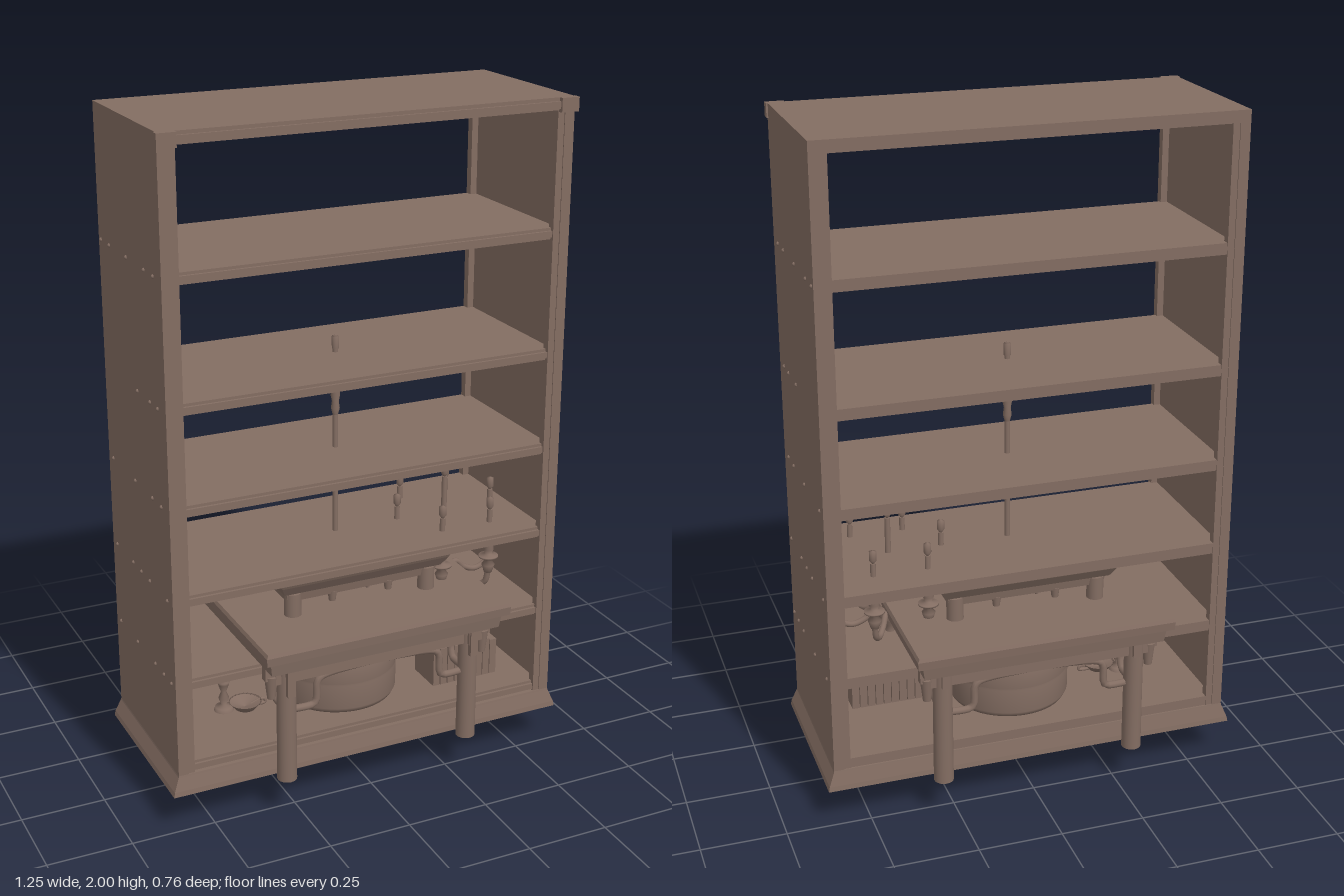
import * as THREE from 'three';

const wood = new THREE.MeshStandardMaterial({ color: 0x836d62, side: THREE.DoubleSide });
wood.name = 'brown wood';

function add(parent, name, geometry, x = 0, y = 0, z = 0) {
  const mesh = new THREE.Mesh(geometry, wood);
  mesh.name = name;
  mesh.position.set(x, y, z);
  parent.add(mesh);
  return mesh;
}

function group(parent, name, x = 0, y = 0, z = 0) {
  const g = new THREE.Group();
  g.name = name;
  g.position.set(x, y, z);
  parent.add(g);
  return g;
}

// Box given by its lower and upper limits
function box(parent, name, x0, x1, y0, y1, z0, z1) {
  return add(parent, name, new THREE.BoxGeometry(x1 - x0, y1 - y0, z1 - z0),
    (x0 + x1) / 2, (y0 + y1) / 2, (z0 + z1) / 2);
}

// Upright round bar from y0 to y1
function post(parent, name, r0, r1, x, y0, y1, z) {
  return add(parent, name, new THREE.CylinderGeometry(r1, r0, y1 - y0, 20), x, (y0 + y1) / 2, z);
}

function lathe(parent, name, profile, x = 0, y = 0, z = 0, sides = 24) {
  const points = profile.map(([r, h]) => new THREE.Vector2(r, h));
  return add(parent, name, new THREE.LatheGeometry(points, sides), x, y, z);
}

function tube(parent, name, points, r, smooth = true) {
  const pts = points.map((p) => new THREE.Vector3(...p));
  let curve;
  if (smooth) curve = new THREE.CatmullRomCurve3(pts, false, 'centripetal');
  else {
    curve = new THREE.CurvePath();
    for (let i = 1; i < pts.length; i++) curve.add(new THREE.LineCurve3(pts[i - 1], pts[i]));
  }
  return add(parent, name, new THREE.TubeGeometry(curve, 48, r, 10), 0, 0, 0);
}

// Stack of rectangles [halfX, halfZ, y] joined into a moulded slab
function moulded(parent, name, rings, capped = true) {
  const corners = [[1, 1], [1, -1], [-1, -1], [-1, 1]];
  const at = (r, i) => [corners[i % 4][0] * r[0], r[2], corners[i % 4][1] * r[1]];
  const pos = [];
  const quad = (a, b, c, d) => pos.push(...a, ...b, ...c, ...a, ...c, ...d);
  for (let k = 1; k < rings.length; k++) {
    const lo = rings[k - 1], hi = rings[k];
    for (let i = 0; i < 4; i++) quad(at(lo, i), at(lo, i + 1), at(hi, i + 1), at(hi, i));
  }
  if (capped) {
    const lo = rings[0], hi = rings[rings.length - 1];
    quad(at(hi, 0), at(hi, 1), at(hi, 2), at(hi, 3));
    quad(at(lo, 3), at(lo, 2), at(lo, 1), at(lo, 0));
  }
  const g = new THREE.BufferGeometry();
  g.setAttribute('position', new THREE.Float32BufferAttribute(pos, 3));
  g.computeVertexNormals();
  return add(parent, name, g);
}

function buildBookcase(root) {
  const g = group(root, 'bookcase');
  moulded(g, 'plinth', [[0.625, 0.262, 0.12], [0.622, 0.26, 0.135], [0.606, 0.251, 0.175], [0.605, 0.25, 0.18]]);
  box(g, 'topBoard', -0.605, 0.605, 1.965, 2, -0.25, 0.25);
  box(g, 'topFrontLip', -0.56, 0.56, 1.97, 1.99, 0.25, 0.258);
  for (const s of [-1, 1]) {
    const [a, b] = s < 0 ? [-0.605, -0.575] : [0.575, 0.605];
    box(g, 'sidePanel', a, b, 0.18, 1.965, -0.25, 0.25);
    for (const z of [-0.235, 0.235])
      box(g, 'stile', s * 0.5675 - 0.0125, s * 0.5675 + 0.0125, 0.18, 1.965, z - 0.012, z + 0.012);
    box(g, 'cornerBlock', s * 0.583 - 0.027, s * 0.583 + 0.027, 1.96, 2, 0.24, 0.264);
    // Screw heads at each shelf
    const rows = { 1.62: [0.19, 0.12, -0.02, -0.16, -0.23], 1.26: [0.19, 0.13, 0.03],
      0.98: [0.19, 0.12, -0.02, -0.21], 0.71: [0.21, 0.07, 0, -0.07, -0.21], 0.46: [0.22, 0.16, 0.09, -0.06, -0.21] };
    for (const y in rows) for (const z of rows[y])
      add(g, 'screwHead', new THREE.SphereGeometry(0.006, 8, 6), s * 0.605, Number(y), z);
  }
  for (const top of [0.21, 0.47, 0.725, 0.99, 1.28, 1.635]) {
    box(g, 'shelf', -0.575, 0.575, top - 0.033, top, -0.245, 0.235);
    box(g, 'shelfNosing', -0.555, 0.555, top - 0.026, top - 0.008, 0.235, 0.243);
  }
}

function buildTable(root) {
  const g = group(root, 'table');
  moulded(g, 'tableTop', [[0.36, 0.355, 0.49], [0.365, 0.36, 0.525], [0.383, 0.378, 0.535],
    [0.385, 0.38, 0.56], [0.38, 0.376, 0.57]]);
  for (const sz of [-1, 1]) {
    box(g, 'frontApron', -0.33, 0.33, 0.435, 0.49, sz * 0.3 - 0.012, sz * 0.3 + 0.012);
    // Humped rail that dips to meet the legs
    tube(g, 'humpedRail', [[-0.29, 0.34, sz * 0.295], [-0.21, 0.34, sz * 0.295], [-0.2, 0.35, sz * 0.295],
      [-0.195, 0.41, sz * 0.295], [-0.18, 0.425, sz * 0.295], [0.18, 0.425, sz * 0.295], [0.195, 0.41, sz * 0.295],
      [0.2, 0.35, sz * 0.295], [0.21, 0.34, sz * 0.295], [0.29, 0.34, sz * 0.295]], 0.011);
    for (const sx of [-1, 1]) {
      post(g, 'tableLeg', 0.029, 0.028, sx * 0.292, 0.12, 0.49, sz * 0.295);
      box(g, 'sideBracket', sx * 0.34 - 0.02, sx * 0.34 + 0.02, 0.45, 0.49, sz * 0.295 - 0.012, sz * 0.295 + 0.012);
      post(g, 'bracketDrop', 0.012, 0.02, sx * 0.338, 0.39, 0.46, sz * 0.295);
      box(g, 'endBracket', sx * 0.292 - 0.012, sx * 0.292 + 0.012, 0.4, 0.49, sz * 0.32, sz * 0.32 + 0.016);
    }
  }
  for (const sx of [-1, 1]) {
    box(g, 'sideApron', sx * 0.29 - 0.012, sx * 0.29 + 0.012, 0.435, 0.49, -0.33, 0.33);
    tube(g, 'sideRail', [[sx * 0.29, 0.34, -0.29], [sx * 0.29, 0.34, -0.21], [sx * 0.29, 0.36, -0.2],
      [sx * 0.29, 0.425, -0.18], [sx * 0.29, 0.425, 0.18], [sx * 0.29, 0.36, 0.2], [sx * 0.29, 0.34, 0.21],
      [sx * 0.29, 0.34, 0.29]], 0.011);
  }
}

function buildSmallTable(root) {
  const g = group(root, 'smallTable');
  moulded(g, 'trayTop', [[0.235, 0.18, 0.615], [0.24, 0.185, 0.64], [0.25, 0.195, 0.645], [0.265, 0.215, 0.675], [0.275, 0.225, 0.695]]);
  for (const sx of [-1, 1]) for (const sz of [-1, 1]) {
    post(g, 'smallLeg', 0.025, 0.025, sx * 0.215, 0.57, 0.64, sz * 0.17);
    post(g, 'smallFoot', 0.01, 0.014, sx * 0.09, 0.59, 0.62, sz * 0.17);
    tube(g, 'curvedBrace', [[sx * 0.015, 0.615, sz * 0.1], [sx * 0.045, 0.605, sz * 0.1], [sx * 0.06, 0.572, sz * 0.1]], 0.007);
  }
}

function buildDrum(root) {
  lathe(root, 'drum', [[0, 0.21], [0.175, 0.21], [0.183, 0.225], [0.184, 0.3], [0.178, 0.303], [0.184, 0.306],
    [0.182, 0.36], [0.172, 0.385], [0.178, 0.395], [0.178, 0.405], [0, 0.408]], 0, 0, 0, 48);
}

// Candle in a turned cup, with its flat drip dish at y = 0
function candle(parent, x, y, z, height) {
  const g = group(parent, 'candleHolder', x, y, z);
  lathe(g, 'candleCup', [[0, -0.05], [0.012, -0.045], [0.02, -0.02], [0.01, -0.005], [0.03, 0.005], [0.03, 0.01],
    [0.01, 0.015], [0.016, 0.03], [0.012, 0.055], [0.016, 0.06], [0, 0.06]]);
  post(g, 'candle', 0.009, 0.008, 0, 0.05, height - 0.04, 0);
  lathe(g, 'flame', [[0.004, height - 0.04], [0.011, height - 0.03], [0.011, height - 0.004], [0, height]], 0, 0, 0, 10);
}

function buildCandelabra(root) {
  const g = group(root, 'candelabra', 0.365, 0, 0);
  lathe(g, 'stem', [[0, 0.3], [0.01, 0.31], [0.014, 0.34], [0.033, 0.42], [0.03, 0.44], [0.014, 0.46], [0.014, 0.49],
    [0.03, 0.51], [0.03, 0.53], [0.012, 0.56], [0.01, 0.6], [0, 0.6]]);
  candle(g, 0, 0.65, 0, 0.225);
  for (let i = 0; i < 6; i++) {
    const arm = group(g, 'arm');
    arm.rotation.y = i * Math.PI / 3;
    tube(arm, 'curvedArm', [[0.015, 0.53, 0], [0.045, 0.545, 0], [0.075, 0.52, 0], [0.115, 0.508, 0],
      [0.15, 0.525, 0], [0.16, 0.56, 0]], 0.009);
    candle(arm, 0.16, 0.605, 0, 0.2);
  }
}

function buildShelfItems(root) {
  const books = group(root, 'books');
  for (let i = 0; i < 9; i++) {
    const x = 0.265 + i * 0.0245;
    box(books, 'book', x, x + 0.022, 0.21, 0.325 + 0.006 * (i % 2), 0.02, 0.14);
  }
  // Candlestick with a shallow dish
  const g = group(root, 'candlestick', -0.367, 0.21, 0);
  lathe(g, 'stick', [[0.03, 0], [0.026, 0.012], [0.009, 0.02], [0.016, 0.04], [0.008, 0.06], [0.016, 0.085],
    [0.02, 0.095], [0.009, 0.105], [0.008, 0.2], [0.003, 0.235], [0, 0.235]]);
  lathe(g, 'dish', [[0, 0], [0.03, 0.002], [0.05, 0.025], [0.045, 0.022], [0, 0.006]], 0.06, 0, 0.02);
  tube(g, 'dishHandle', [[0.08, 0.01, 0.02], [0.12, 0.02, 0.02], [0.125, 0.008, 0.02], [0.09, 0.005, 0.02]], 0.005);
}

function buildHangingLamp(root) {
  const g = group(root, 'hangingLamp');
  post(g, 'lampRod', 0.008, 0.008, 0, 0.08, 1.33, 0);
  lathe(g, 'rodOrnament', [[0.008, 1.09], [0.013, 1.11], [0.01, 1.13], [0.014, 1.15], [0.014, 1.21], [0.009, 1.24], [0.008, 1.26]]);
  lathe(g, 'rodTip', [[0.01, 1.29], [0.011, 1.325], [0, 1.332]]);
  moulded(g, 'shade', [[0.215, 0.048, 0.012], [0.212, 0.044, 0.025], [0.2, 0.028, 0.05], [0.188, 0.016, 0.07], [0.186, 0.016, 0.078]], false);
  box(g, 'shadeCap', -0.186, 0.186, 0.072, 0.079, -0.016, 0.016);
  post(g, 'shadeCollar', 0.014, 0.01, 0, 0.075, 0.11, 0);
  for (const s of [-1, 1]) {
    tube(g, 'shadeStay', [[s * 0.14, 0.078, 0], [s * 0.06, 0.15, 0]], 0.003, false);
    // Fringe and ribs along the shade
    for (let i = 0; i <= 20; i++) {
      const x = -0.21 + i * 0.021;
      post(g, 'fringe', 0.005, 0.005, x, 0, 0.014 + 0.004 * (i % 3), s * 0.046);
      if (i % 2 === 0) tube(g, 'shadeRib', [[x, 0.02, s * 0.047], [x * 0.94, 0.05, s * 0.029], [x * 0.88, 0.072, s * 0.017]], 0.003);
    }
  }
}

export function createModel() {
  const root = new THREE.Group();
  root.name = 'furnishedBookcase';
  buildBookcase(root);
  buildTable(root);
  buildSmallTable(root);
  buildDrum(root);
  buildCandelabra(root);
  buildShelfItems(root);
  buildHangingLamp(root);
  return root;
}
